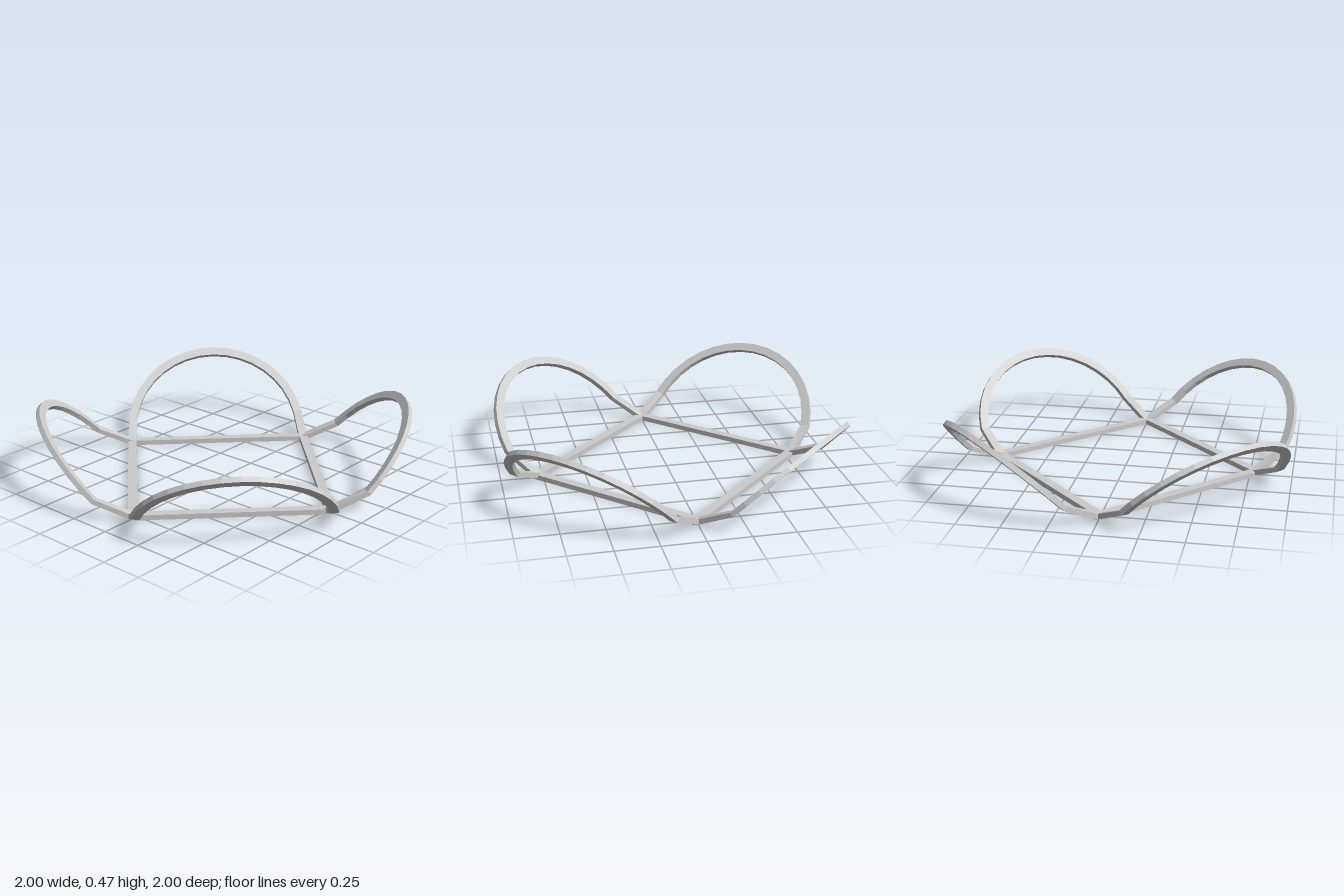
import * as THREE from 'three';

const HALF = 0.555;            // half the side of the square base
const WIDTH = 0.053, THICK = 0.03; // flat strip section
const RADIUS = 0.553, SEGMENTS = 16;
const TILT = THREE.MathUtils.degToRad(47);

// Sweeps a rectangular section along frames of { p, r, n } (centre, width and thickness directions).
function sweepStrip(frames) {
  const rings = frames.map(({ p, r, n }) =>
    [[1, 1], [-1, 1], [-1, -1], [1, -1]].map(([a, b]) =>
      p.clone().addScaledVector(r, a * WIDTH / 2).addScaledVector(n, b * THICK / 2)));
  const pos = [];
  const quad = (a, b, c, d) => [a, b, c, a, c, d].forEach(v => pos.push(v.x, v.y, v.z));
  for (let i = 0; i < rings.length - 1; i++) {
    const A = rings[i], B = rings[i + 1];
    for (let j = 0; j < 4; j++) {
      const k = (j + 1) % 4;
      quad(A[j], B[j], B[k], A[k]);
    }
  }
  const E = rings[rings.length - 1];
  quad(...rings[0]);
  quad(E[3], E[2], E[1], E[0]);
  const geo = new THREE.BufferGeometry();
  geo.setAttribute('position', new THREE.Float32BufferAttribute(pos, 3));
  geo.computeVertexNormals();
  return geo;
}

// Outward-leaning round arch with a shallower straight foot at each end.
function archGeometry() {
  const up = new THREE.Vector3(0, Math.sin(TILT), Math.cos(TILT));
  const normal = new THREE.Vector3(0, -Math.cos(TILT), Math.sin(TILT));
  const centre = new THREE.Vector3(0, 0.037, 0.70);
  const footNormal = new THREE.Vector3(0, -0.9, 0.43);
  const foot = s => ({
    p: new THREE.Vector3(s * HALF, 0.015, HALF),
    r: new THREE.Vector3(s, 0, 0),
    n: footNormal,
  });
  const start = Math.asin(0.103 / RADIUS);
  const frames = [foot(1)];
  for (let i = 0; i <= SEGMENTS; i++) {
    const a = start + (Math.PI - 2 * start) * i / SEGMENTS;
    const r = new THREE.Vector3(Math.cos(a), 0, 0).addScaledVector(up, Math.sin(a));
    frames.push({ p: centre.clone().addScaledVector(r, RADIUS), r, n: normal });
  }
  frames.push(foot(-1));
  return sweepStrip(frames);
}

export function createModel() {
  const model = new THREE.Group();
  model.name = 'petalFrame';
  const material = new THREE.MeshStandardMaterial({ color: 0xcccccc, flatShading: true });
  const arch = archGeometry();
  const bar = new THREE.BoxGeometry(2 * HALF, THICK, WIDTH).translate(0, THICK / 2, HALF);

  // Four identical sides, each a base bar and an arch
  for (let i = 0; i < 4; i++) {
    const side = new THREE.Group();
    side.name = `side${i + 1}`;
    side.rotation.y = Math.PI / 4 + i * Math.PI / 2;
    const baseBar = new THREE.Mesh(bar, material);
    baseBar.name = 'baseBar';
    const archMesh = new THREE.Mesh(arch, material);
    archMesh.name = 'arch';
    side.add(baseBar, archMesh);
    model.add(side);
  }
  return model;
}
